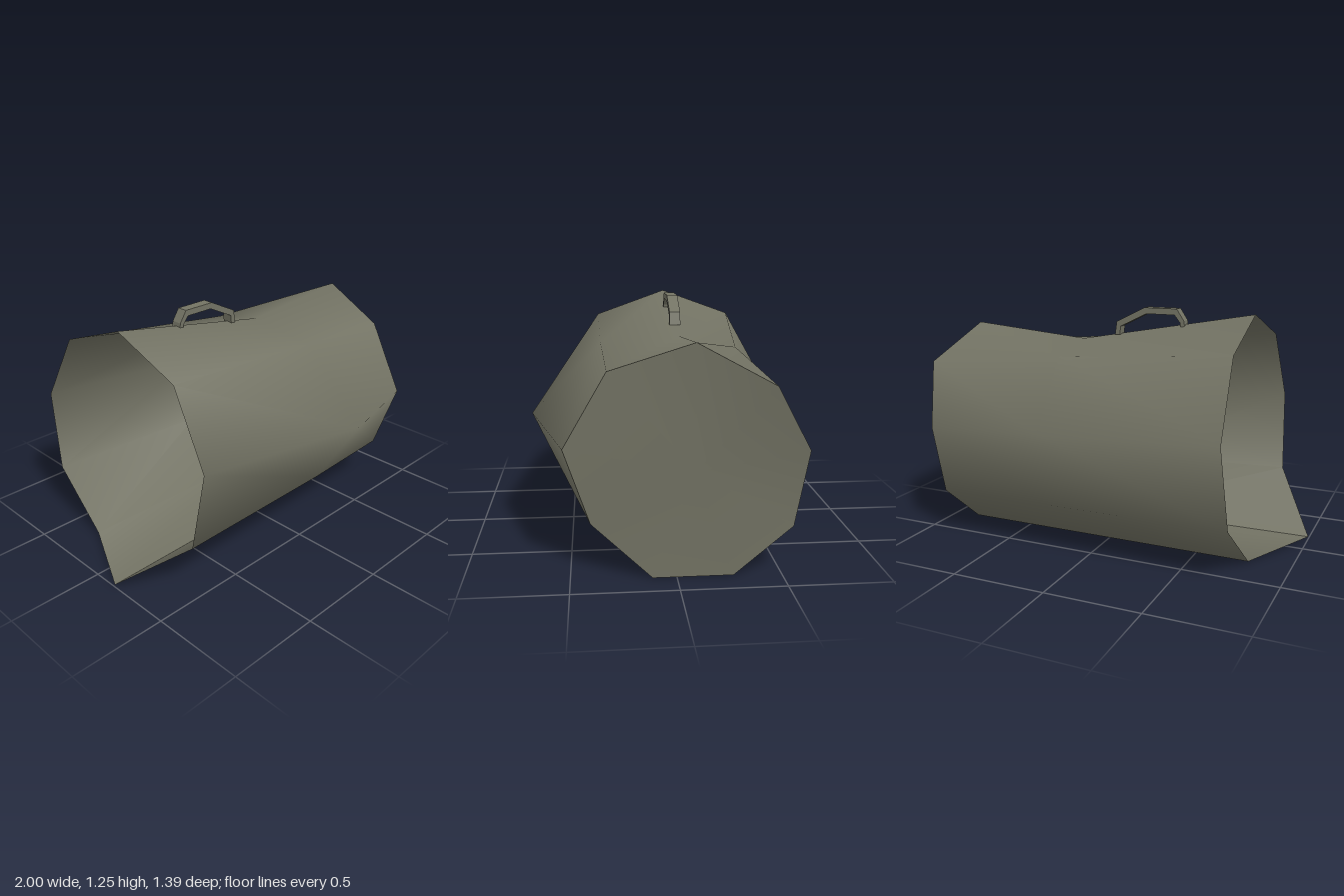
import * as THREE from 'three';

// Nine-sided cross-sections [x, y, z], from the top corner round through +z
const openRing = [
  [-0.72, 1.232, -0.075], [-0.73, 1.085, 0.335], [-0.748, 0.71, 0.547],
  [-0.77, 0.285, 0.478], [-1.0, 0.014, 0.145], [-0.785, 0.008, -0.29],
  [-0.77, 0.285, -0.62], [-0.747, 0.71, -0.695], [-0.73, 1.085, -0.48],
];
const middleRing = [
  [0.24, 1.06, -0.075], [0.2, 1.025, 0.335], [0.21, 0.66, 0.697],
  [0.2, 0.26, 0.44], [0.2, 0.008, 0.13], [0.2, 0.004, -0.28],
  [0.2, 0.265, -0.585], [0.22, 0.65, -0.647], [0.24, 1.0, -0.37],
];
const closedRing = [
  [0.915, 1.118, -0.075], [0.825, 0.98, 0.318], [0.81, 0.62, 0.525],
  [0.79, 0.25, 0.402], [0.858, 0, 0.115], [0.858, 0, -0.27],
  [0.868, 0.24, -0.55], [0.888, 0.61, -0.613], [0.998, 0.934, -0.425],
];
const capCentre = [0.884, 0.524, -0.08];

function buildGeometry(points, index) {
  const geometry = new THREE.BufferGeometry();
  geometry.setAttribute('position', new THREE.Float32BufferAttribute(points.flat(), 3));
  geometry.setIndex(index);
  geometry.computeVertexNormals();
  return geometry;
}

export function createModel() {
  const group = new THREE.Group();
  const material = new THREE.MeshStandardMaterial({ color: 0x737364, side: THREE.DoubleSide });
  material.name = 'olive grey metal';

  const add = (name, geometry) => {
    const mesh = new THREE.Mesh(geometry, material);
    mesh.name = name;
    group.add(mesh);
    return mesh;
  };

  // Dented shell, open at -x, with its sharp seam along the bottom front edge
  const n = openRing.length;
  const seam = 4;
  const fromSeam = (ring) => [...ring.slice(seam), ...ring.slice(0, seam + 1)];
  const shellIndex = [];
  for (let k = 0; k < 2; k++) {
    for (let i = 0; i < n; i++) {
      const a = k * (n + 1) + i, b = a + 1, d = a + n + 1, c = d + 1;
      shellIndex.push(a, b, c, a, c, d);
    }
  }
  add('shell', buildGeometry([openRing, middleRing, closedRing].flatMap(fromSeam), shellIndex));

  // Closed end, buckled around its centre
  const capIndex = [];
  for (let i = 0; i < n; i++) capIndex.push(n, i, (i + 1) % n);
  add('endCap', buildGeometry([...closedRing, capCentre], capIndex));

  // Carrying handle: flat bent strip
  const outline = [
    [-0.355, 1.15], [-0.35, 1.185], [-0.31, 1.245], [-0.13, 1.245], [0.03, 1.165], [0.04, 1.095],
    [0.012, 1.095], [0.008, 1.14], [-0.14, 1.213], [-0.298, 1.213], [-0.328, 1.175], [-0.333, 1.15],
  ].map(([x, y]) => new THREE.Vector2(x, y));
  const handle = add('handle', new THREE.ExtrudeGeometry(new THREE.Shape(outline),
    { depth: 0.058, bevelEnabled: false }));
  handle.position.z = -0.102;

  return group;
}
